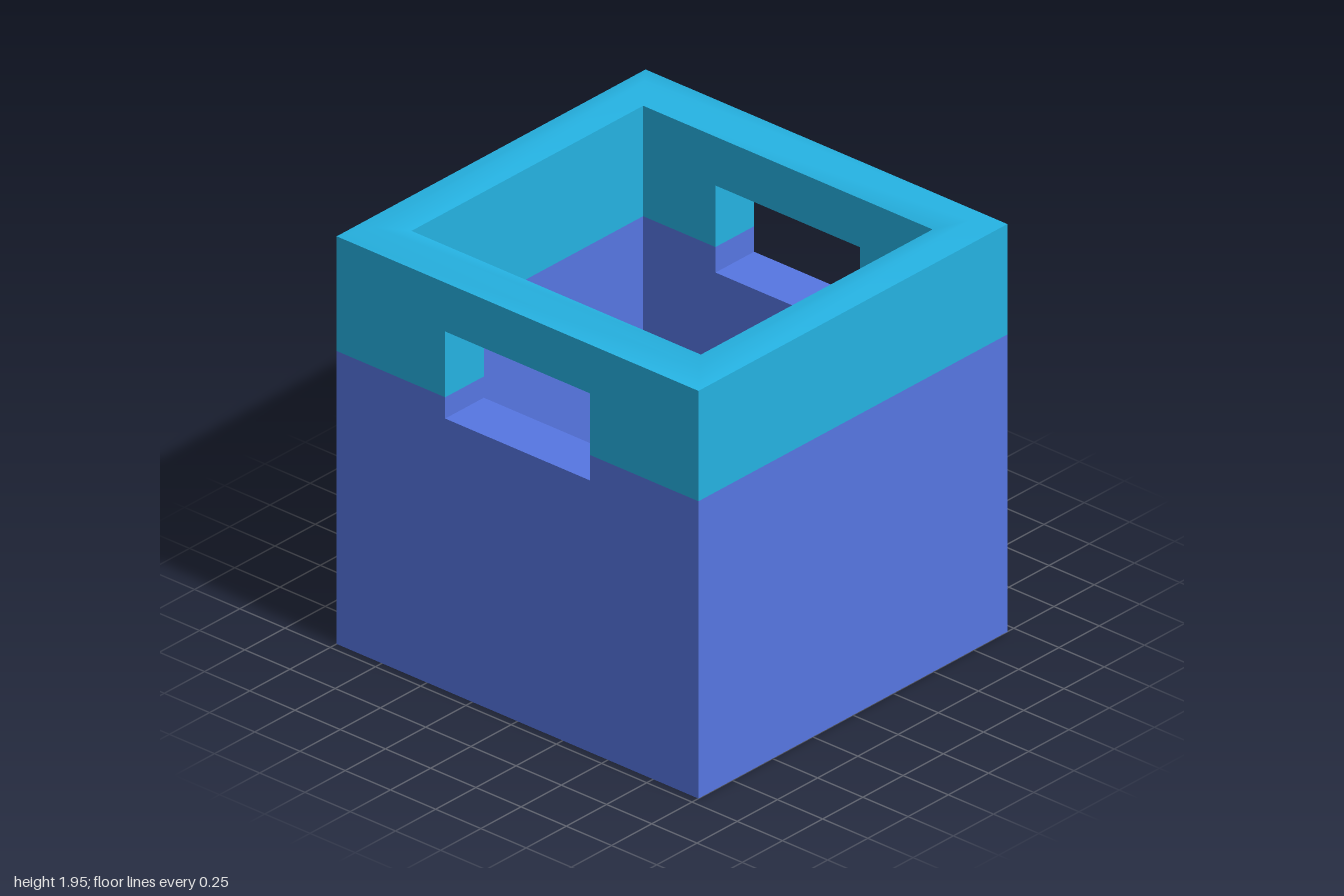
import * as THREE from 'three';
import { mergeVertices } from 'three/addons/utils/BufferGeometryUtils.js';

const TOP = 1.92, SPLIT = 1.4, FLOOR = 0.2;   // heights
const X = 1, Z = 0.96, IX = 0.8, IZ = 0.72;   // outer and inner half sizes
const HOLE = { x: 0.4, y0: 1.28, y1: 1.69 };  // hand hole

// Mesh from four-cornered faces, corners counter-clockwise seen from the front
function facesMesh(name, quads, material, smooth = false) {
  const pos = [];
  for (const [a, b, c, d] of quads) pos.push(...a, ...b, ...c, ...a, ...c, ...d);
  let geo = new THREE.BufferGeometry();
  geo.setAttribute('position', new THREE.Float32BufferAttribute(pos, 3));
  if (smooth) geo = mergeVertices(geo);
  geo.computeVertexNormals();
  const mesh = new THREE.Mesh(geo, material);
  mesh.name = name;
  return mesh;
}

// Upright faces: across x (facing +z) and across z (facing +x); flip turns them round
const turn = (q, flip) => (flip ? q.slice().reverse() : q);
const faceZ = (x0, x1, y0, y1, z, flip) =>
  turn([[x0, y0, z], [x1, y0, z], [x1, y1, z], [x0, y1, z]], flip);
const faceX = (z0, z1, y0, y1, x, flip) =>
  turn([[x, y0, z1], [x, y0, z0], [x, y1, z0], [x, y1, z1]], flip);
// Level face, looking up
const faceY = (x0, x1, z0, z1, y, flip) =>
  turn([[x0, y, z1], [x1, y, z1], [x1, y, z0], [x0, y, z0]], flip);

// One wall with a hand hole plus the plain wall beside it
function halfShell(name, split, body, band) {
  const { x: h, y0, y1 } = HOLE;
  const low = [], high = [];
  // Outer and inner skins
  for (const [x, z, base, flip] of [[X, Z, 0, false], [IX, IZ, FLOOR, true]]) {
    low.push(
      faceZ(-x, -h, base, split, z, flip),
      faceZ(-h, h, base, y0, z, flip),
      faceZ(h, x, base, SPLIT, z, flip),
      faceX(-z, z, base, SPLIT, x, flip));
    high.push(
      faceZ(-x, -h, split, TOP, z, flip),
      faceZ(-h, h, y1, TOP, z, flip),
      faceZ(h, x, SPLIT, TOP, z, flip),
      faceX(-z, z, SPLIT, TOP, x, flip));
  }
  // Lining of the hand hole
  low.push(
    faceY(-h, h, IZ, Z, y0, false),
    faceX(IZ, Z, y0, split, -h, false),
    faceX(IZ, Z, y0, SPLIT, h, true));
  high.push(
    faceY(-h, h, IZ, Z, y1, true),
    faceX(IZ, Z, split, y1, -h, false),
    faceX(IZ, Z, SPLIT, y1, h, true));
  const group = new THREE.Group();
  group.name = name;
  group.add(facesMesh('lowerWalls', low, body), facesMesh('upperBand', high, band));
  return group;
}

export function createModel() {
  const body = new THREE.MeshStandardMaterial({ color: 0x5676e2 });
  body.name = 'violetBlue';
  const band = new THREE.MeshStandardMaterial({ color: 0x25b2e2 });
  band.name = 'skyBlue';

  const model = new THREE.Group();
  model.name = 'storageBin';

  // Walls: front and left, then back and right
  const front = halfShell('frontAndLeftWalls', 1.38, body, band);
  const back = halfShell('backAndRightWalls', SPLIT, body, band);
  back.rotation.y = Math.PI;
  model.add(front, back);

  // Bottom and inside floor
  model.add(facesMesh('bottom', [faceY(-X, X, -Z, Z, 0, true)], body));
  model.add(facesMesh('insideFloor', [faceY(-IX, IX, -IZ, IZ, FLOOR, false)], body));

  // Softly crowned rim: rings running from the outer edge over the ridge to the inner edge
  const rings = [[X, TOP, Z], [0.9, 1.95, 0.84], [IX, TOP, IZ]];
  const corners = [[-1, 1], [1, 1], [1, -1], [-1, -1]];
  const at = ([x, y, z], i) => [x * corners[i % 4][0], y, z * corners[i % 4][1]];
  const rim = [];
  for (let r = 0; r < 2; r++)
    for (let i = 0; i < 4; i++)
      rim.push([at(rings[r], i), at(rings[r], i + 1), at(rings[r + 1], i + 1), at(rings[r + 1], i)]);
  model.add(facesMesh('rim', rim, band, true));

  return model;
}
